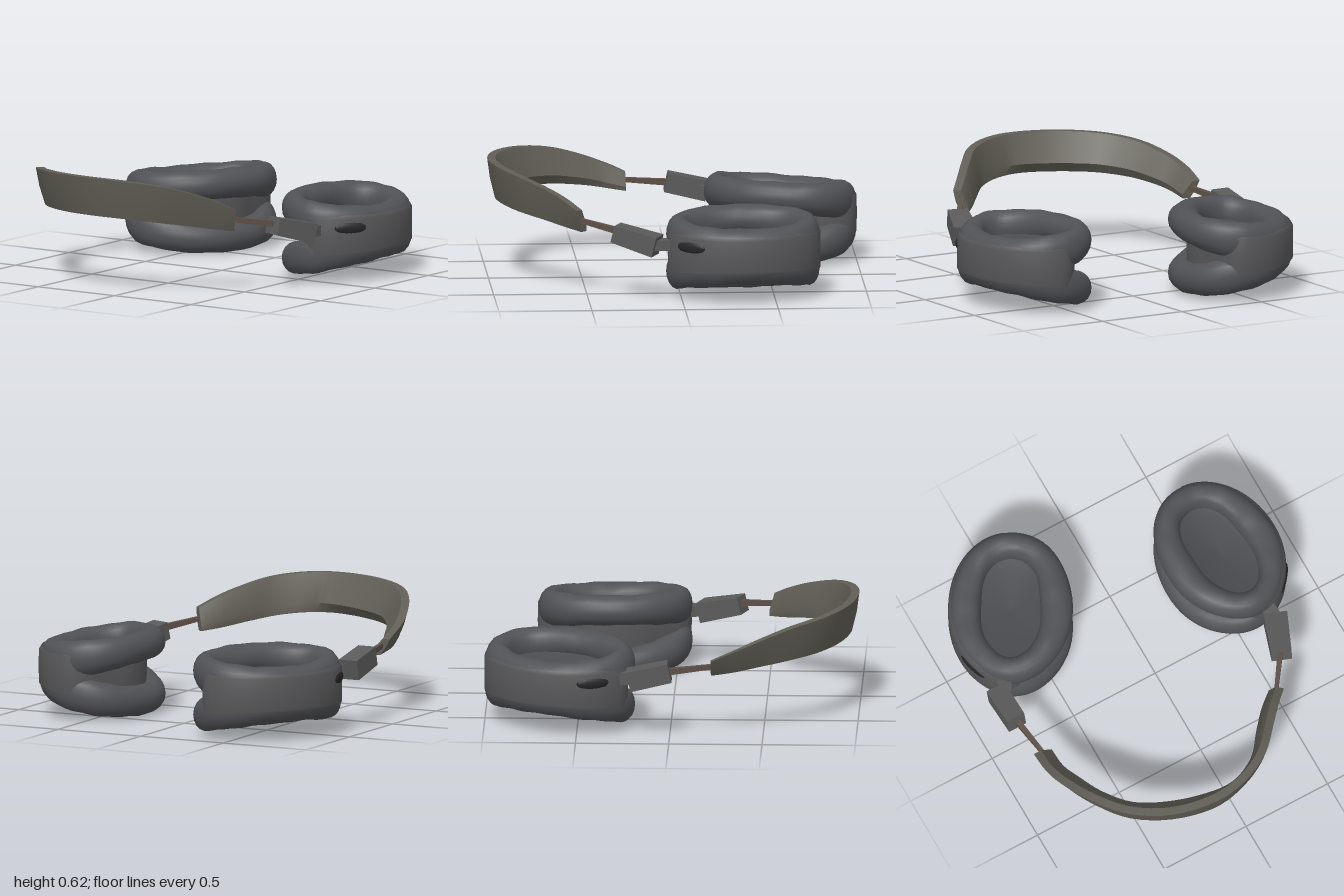
import * as THREE from 'three';
import { toCreasedNormals } from 'three/addons/utils/BufferGeometryUtils.js';

const V = (x, y, z) => new THREE.Vector3(x, y, z);
const mat = (color, side = THREE.FrontSide) => new THREE.MeshStandardMaterial({ color, side });
const cushionMat = mat(0x515256), shellMat = mat(0x58585a, THREE.DoubleSide), dishMat = mat(0x4a4b4f),
  bandMat = mat(0x605e55), hingeMat = mat(0x5a5a5a), rodMat = mat(0x5e5148), slotMat = mat(0x262628);

function add(parent, name, geometry, material) {
  const mesh = new THREE.Mesh(geometry, material);
  mesh.name = name;
  parent.add(mesh);
  return mesh;
}

// Skin a surface over rows of points, optionally wrapping either direction
function loft(rows, wrapRows, wrapCols) {
  const n = rows.length, m = rows[0].length, index = [];
  for (let i = 0; i < (wrapRows ? n : n - 1); i++) {
    for (let j = 0; j < (wrapCols ? m : m - 1); j++) {
      const i2 = (i + 1) % n, j2 = (j + 1) % m;
      const a = i * m + j, b = i2 * m + j, c = i2 * m + j2, d = i * m + j2;
      index.push(a, d, b, b, d, c);
    }
  }
  const g = new THREE.BufferGeometry().setFromPoints(rows.flat());
  g.setIndex(index);
  g.computeVertexNormals();
  return g;
}

// Sweep a profile round an ellipse; profile(s, t) gives [radius factor, y],
// where s runs from -1 on the outer side to 1 on the side facing the other cup
function ring(a, b, side, profile, closed) {
  const rows = [], n = 56;
  for (let i = 0; i < n; i++) {
    const t = (i / n) * Math.PI * 2, c = Math.cos(t), k = Math.sin(t);
    rows.push(profile(-side * c, t).map(([r, y]) => V(a * r * c, y, b * r * k)));
  }
  return loft(rows, true, closed);
}

// One ear cup: two cushions spreading apart towards the inside, joined by a wall
function earCup(name, side, x, z, a, b, turn) {
  const cup = new THREE.Group();
  cup.name = name;
  cup.position.set(x, 0, z);
  cup.rotation.y = turn;
  const upper = s => 0.342 + 0.038 * s, lower = s => 0.152 - 0.064 * s;
  // Half width of a cushion, slimmer at the long ends so the opening is a tall oval
  const half = s => 0.16 + 0.1 * s * s;

  // Soft pads with slight wrinkles, squarer on the outer side, thinning to the inner tip
  const pad = mid => (s, t) => Array.from({ length: 18 }, (_, j) => {
    const p = (j / 18) * Math.PI * 2, c = Math.cos(p), k = Math.sin(p);
    const ripple = 1 + 0.02 * Math.sin(7 * t + 2 * p) + 0.02 * Math.sin(13 * t - p);
    const r = 0.995 - half(s) + half(s) * Math.sign(c) * Math.abs(c) ** (0.88 + 0.12 * s);
    const tall = 0.1 - 0.02 * Math.max(s, 0);
    return [r + 0.006 * Math.sin(5 * t), mid(s) + tall * Math.sign(k) * Math.abs(k) ** 0.95 * ripple];
  });
  add(cup, 'upperCushion', ring(a, b, side, pad(upper), true), cushionMat);
  add(cup, 'lowerCushion', ring(a, b, side, pad(lower), true), cushionMat);

  // Wall, full on the outer side and set back between the cushions on the inner side
  const wall = s => {
    const r = 1 - 0.3 * THREE.MathUtils.smoothstep(s, -0.15, 0.75);
    const y0 = lower(s) - 0.01 + 0.03 * s, y1 = upper(s) + 0.03 - 0.03 * s;
    return [[r * 0.96, y0 - 0.01], [r, y0 + 0.01], [r * 1.005, (y0 + y1) / 2], [r, y1 - 0.01], [r * 0.96, y1 + 0.01]];
  };
  add(cup, 'cupWall', ring(a, b, side, wall, false), shellMat);

  // Sunken discs in the middle of each cushion
  const rim = s => 1.08 - 2 * half(s);
  add(cup, 'upperDish', ring(a, b, side, s => [[rim(s), 0.33 + 0.02 * s], [rim(s) * 0.7, 0.31 + 0.01 * s], [0, 0.3]], false), dishMat);
  add(cup, 'lowerDish', ring(a, b, side, s => [[0, 0.16], [rim(s) * 0.7, 0.155 - 0.015 * s], [rim(s), 0.145 - 0.03 * s]], false), dishMat);

  // Dark hinge slot on the outer wall near the front
  const slot = add(cup, 'hingeSlot', new THREE.SphereGeometry(1, 16, 10), slotMat);
  const t = 0.88;
  slot.position.set(side * 0.97 * a * Math.cos(t), 0.31, 0.97 * b * Math.sin(t));
  slot.scale.set(0.09, 0.035, 0.02);
  slot.rotation.y = Math.atan2(side * b * Math.cos(t), a * Math.sin(t));
  return cup;
}

// Bar between two points, w wide and h tall, narrowing to the factor taper at its end
function bar(parent, name, from, to, w, h, taper, material) {
  const g = new THREE.BoxGeometry(w, h, from.distanceTo(to));
  const p = g.attributes.position;
  for (let i = 0; i < p.count; i++) {
    if (p.getZ(i) > 0) p.setXY(i, p.getX(i) * taper, p.getY(i) * taper);
  }
  g.computeVertexNormals();
  const mesh = add(parent, name, g, material);
  mesh.position.copy(from).lerp(to, 0.5);
  mesh.lookAt(to);
}

// Curved strap: x, y, z, half height, outward lean of the top edge, inner padding
function headband() {
  const stations = [
    [-0.815, 0.38, 0.22, 0.045, 0.03, 0.02], [-0.815, 0.42, 0.35, 0.065, 0.03, 0.025],
    [-0.785, 0.455, 0.47, 0.08, 0.03, 0.035], [-0.715, 0.49, 0.63, 0.095, 0.025, 0.04],
    [-0.59, 0.51, 0.79, 0.102, 0.025, 0.045], [-0.4, 0.52, 0.905, 0.105, 0.025, 0.055],
    [-0.18, 0.525, 0.955, 0.105, 0.02, 0.045], [0, 0.52, 0.93, 0.105, 0.02, 0.015],
    [0.16, 0.5, 0.845, 0.102, 0.02, 0.01], [0.28, 0.465, 0.715, 0.092, 0.02, 0.02],
    [0.37, 0.43, 0.61, 0.08, 0.02, 0.02], [0.45, 0.395, 0.525, 0.06, 0.02, 0.01]];
  const path = new THREE.CatmullRomCurve3(stations.map(q => V(q[0], q[1], q[2])), false, 'catmullrom');
  const size = new THREE.CatmullRomCurve3(stations.map(q => V(q[3], q[4], q[5])), false, 'catmullrom');
  const rows = [], n = 44, th = 0.022;
  for (let i = 0; i <= n; i++) {
    const P = path.getPoint(i / n), { x: h, y: lean, z: padding } = size.getPoint(i / n);
    const N = path.getTangent(i / n).setY(0).normalize().cross(V(0, 1, 0));
    const at = (o, y) => P.clone().addScaledVector(N, o + lean * y).add(V(0, h * y, 0));
    rows.push([at(th, 1), at(th + 0.006, 0), at(th, -1), at(-th, -1), at(-th - padding, -0.5), at(-th, 1)]);
  }
  // Close both ends
  const cap = i => rows[0].map(() => path.getPoint(i));
  rows.unshift(cap(0));
  rows.push(cap(1));
  return toCreasedNormals(loft(rows, false, true), 0.7);
}

export function createModel() {
  const model = new THREE.Group();
  model.name = 'headphones';

  model.add(earCup('rightEarCup', -1, -0.555, -0.595, 0.335, 0.425, -0.49));
  model.add(earCup('leftEarCup', 1, 0.582, -0.335, 0.325, 0.415, 0.09));
  add(model, 'headband', headband(), bandMat);

  // Hinge blocks and slider rods linking the cups to the band
  bar(model, 'rightHingeArm', V(-0.77, 0.31, -0.28), V(-0.83, 0.33, -0.17), 0.08, 0.07, 0.9, hingeMat);
  bar(model, 'rightHingeBlock', V(-0.85, 0.32, -0.22), V(-0.85, 0.37, 0), 0.11, 0.11, 0.95, hingeMat);
  bar(model, 'rightSliderRod', V(-0.845, 0.365, -0.02), V(-0.81, 0.39, 0.25), 0.03, 0.035, 0.7, rodMat);
  bar(model, 'leftHingeArm', V(0.65, 0.3, 0.03), V(0.665, 0.3, 0.16), 0.08, 0.06, 0.9, hingeMat);
  bar(model, 'leftHingeBlock', V(0.665, 0.295, 0.13), V(0.58, 0.355, 0.35), 0.13, 0.11, 0.85, hingeMat);
  bar(model, 'leftSliderRod', V(0.59, 0.36, 0.32), V(0.44, 0.4, 0.54), 0.03, 0.035, 0.7, rodMat);
  return model;
}
